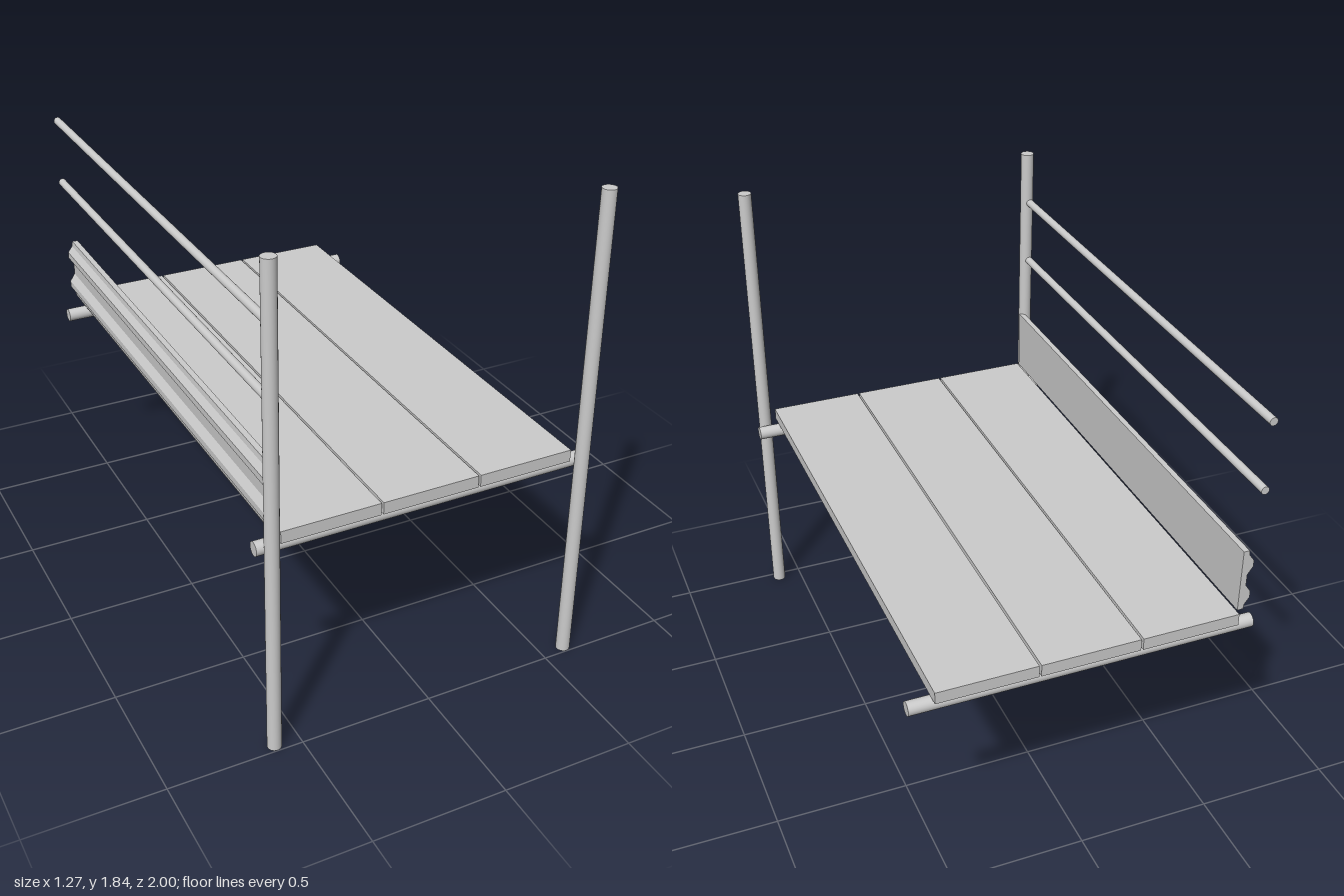
import * as THREE from 'three';

const material = new THREE.MeshStandardMaterial({ color: 0xcccccc });

function addMesh(group, name, geometry, x, y, z) {
  const mesh = new THREE.Mesh(geometry, material);
  mesh.name = name;
  mesh.position.set(x, y, z);
  group.add(mesh);
  return mesh;
}

// Round tube along the given axis, centred on the given point
function addTube(group, name, axis, radius, length, x, y, z) {
  const geometry = new THREE.CylinderGeometry(radius, radius, length, 24);
  if (axis === 'x') geometry.rotateZ(Math.PI / 2);
  if (axis === 'z') geometry.rotateX(Math.PI / 2);
  return addMesh(group, name, geometry, x, y, z);
}

export function createModel() {
  const group = new THREE.Group();
  group.name = 'scaffoldBay';

  // Two upright poles at the front
  for (const side of [-1, 1]) {
    addTube(group, side > 0 ? 'leftUpright' : 'rightUpright', 'y', 0.026, 1.835, side * 0.595, 0.9175, 0.972);
  }

  // Cross tubes carrying the deck
  addTube(group, 'frontCrossTube', 'x', 0.026, 1.27, 0, 0.796, 0.916);
  addTube(group, 'backCrossTube', 'x', 0.026, 1.27, 0, 0.796, -0.951);

  // Three deck planks with narrow gaps
  for (let i = 0; i < 3; i++) {
    addMesh(group, 'deckPlank' + (i + 1), new THREE.BoxGeometry(0.365, 0.046, 1.96), -0.378 + i * 0.373, 0.847, -0.015);
  }

  // Guard rails on one side
  for (const [name, y] of [['upperGuardRail', 1.627], ['lowerGuardRail', 1.368]]) {
    addTube(group, name, 'z', 0.015, 1.97, -0.6, y, -0.015);
  }

  // Toe board: flat inside, two ridges along the outside
  const profile = new THREE.Shape();
  profile.moveTo(-0.565, 0.87);
  profile.lineTo(-0.565, 1.115);
  profile.lineTo(-0.587, 1.115);
  const ridges = [
    [-0.59, 1.095], [-0.608, 1.07], [-0.608, 1.045], [-0.588, 1.015],
    [-0.588, 0.97], [-0.608, 0.94], [-0.608, 0.915], [-0.59, 0.89], [-0.587, 0.87],
  ];
  for (const [x, y] of ridges) profile.lineTo(x, y);
  const board = new THREE.ExtrudeGeometry(profile, { depth: 1.93, bevelEnabled: false });
  addMesh(group, 'toeBoard', board, 0, 0, -0.972);

  return group;
}
